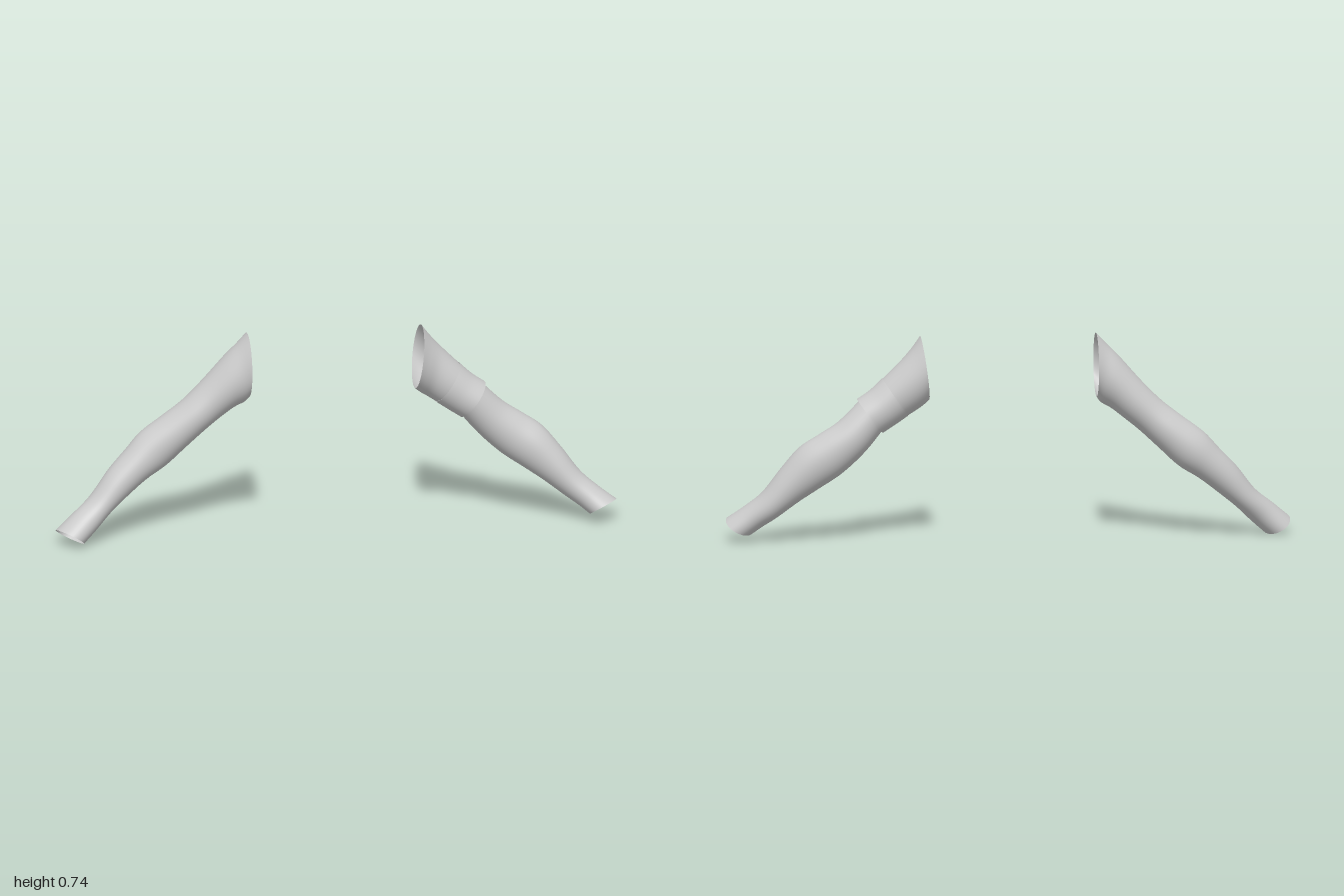
import * as THREE from 'three';

// Section: [topX, topY, bottomX, bottomY, backZ, frontZ, tilt], x measured outward
const RIGHT = [
  [0.31, 0.737, 0.31, 0.51, -0.122, 0.112, 0],
  [0.345, 0.70, 0.325, 0.49, -0.112, 0.095, 0],
  [0.39, 0.655, 0.36, 0.47, -0.106, 0.08, 0],
  [0.47, 0.565, 0.405, 0.435, -0.1, 0.064, 0],
  [0.54, 0.495, 0.46, 0.39, -0.096, 0.06, 0],
  [0.61, 0.44, 0.53, 0.325, -0.1, 0.054, 0],
  [0.69, 0.38, 0.6, 0.26, -0.1, 0.05, 0],
  [0.745, 0.32, 0.67, 0.215, -0.088, 0.055, 0],
  [0.81, 0.25, 0.74, 0.16, -0.07, 0.065, 0],
  [0.875, 0.165, 0.805, 0.105, -0.045, 0.078, 0.005],
  [0.94, 0.11, 0.86, 0.05, -0.02, 0.1, 0.01],
  [1.0, 0.058, 0.91, 0.004, -0.01, 0.123, 0.015],
];
const LEFT_SHOULDER = [
  [0.315, 0.735, 0.285, 0.51, -0.126, 0.105, 0],
  [0.345, 0.695, 0.305, 0.492, -0.12, 0.088, 0],
  [0.385, 0.65, 0.33, 0.475, -0.112, 0.072, 0],
  [0.45, 0.585, 0.36, 0.455, -0.1, 0.065, 0],
];
const LEFT_BAND = [
  [0.45, 0.587, 0.359, 0.454, -0.102, 0.067, 0],
  [0.495, 0.545, 0.405, 0.422, -0.1, 0.066, 0],
  [0.541, 0.513, 0.449, 0.393, -0.099, 0.068, 0],
];
const LEFT_FOREARM = [
  [0.53, 0.51, 0.45, 0.403, -0.093, 0.06, 0],
  [0.605, 0.437, 0.515, 0.325, -0.1, 0.053, 0],
  [0.675, 0.39, 0.595, 0.25, -0.095, 0.055, 0],
  [0.745, 0.342, 0.675, 0.195, -0.083, 0.065, 0],
  [0.81, 0.265, 0.745, 0.147, -0.066, 0.074, 0],
  [0.875, 0.178, 0.82, 0.09, -0.045, 0.083, 0.005],
  [0.94, 0.122, 0.87, 0.055, -0.022, 0.098, 0.01],
  [1.0, 0.078, 0.905, 0.028, -0.01, 0.118, 0.015],
];

// Catmull-Rom value of every section component at t in 0..1
function sampleSections(sections, t) {
  const last = sections.length - 1;
  const i = Math.min(Math.floor(t * last), last - 1);
  const f = t * last - i;
  const at = (k) => sections[Math.max(0, Math.min(last, k))];
  return sections[0].map((_, c) => {
    const [a, b, d, e] = [at(i - 1)[c], at(i)[c], at(i + 1)[c], at(i + 2)[c]];
    return b + 0.5 * f * (d - a + f * (2 * a - 5 * b + 4 * d - e + f * (3 * (b - d) + e - a)));
  });
}

// Open tube lofted through elliptical sections; side is +1 or -1
function sleeve(name, sections, side, material) {
  const sides = 40;
  const rows = (sections.length - 1) * 5;
  const positions = [];
  const indices = [];
  for (let r = 0; r <= rows; r++) {
    const [tx, ty, bx, by, zb, zf, tilt] = sampleSections(sections, r / rows);
    for (let s = 0; s < sides; s++) {
      const angle = (s / sides) * Math.PI * 2;
      const c = Math.cos(angle) / 2;
      const n = Math.sin(angle);
      positions.push(
        side * ((tx + bx) / 2 + (tx - bx) * c - tilt * n),
        (ty + by) / 2 + (ty - by) * c + tilt * n,
        (zb + zf) / 2 + ((zf - zb) / 2) * n,
      );
      if (r === rows) continue;
      const a = r * sides + s;
      const b = r * sides + ((s + 1) % sides);
      const d = a + sides;
      const e = b + sides;
      if (side > 0) indices.push(a, b, d, b, e, d);
      else indices.push(a, d, b, b, d, e);
    }
  }
  const geometry = new THREE.BufferGeometry();
  geometry.setAttribute('position', new THREE.Float32BufferAttribute(positions, 3));
  geometry.setIndex(indices);
  geometry.computeVertexNormals();
  const mesh = new THREE.Mesh(geometry, material);
  mesh.name = name;
  return mesh;
}

export function createModel() {
  const model = new THREE.Group();
  model.name = 'arms';
  const grey = new THREE.MeshStandardMaterial({ color: 0xcccccc, side: THREE.DoubleSide });
  grey.name = 'light grey';

  // One-piece right arm
  model.add(sleeve('rightArm', RIGHT, -1, grey));

  // Left arm in three pieces, with a slightly raised band
  const leftArm = new THREE.Group();
  leftArm.name = 'leftArm';
  leftArm.add(
    sleeve('leftShoulder', LEFT_SHOULDER, 1, grey),
    sleeve('leftUpperArmBand', LEFT_BAND, 1, grey),
    sleeve('leftForearm', LEFT_FOREARM, 1, grey),
  );
  model.add(leftArm);
  return model;
}
